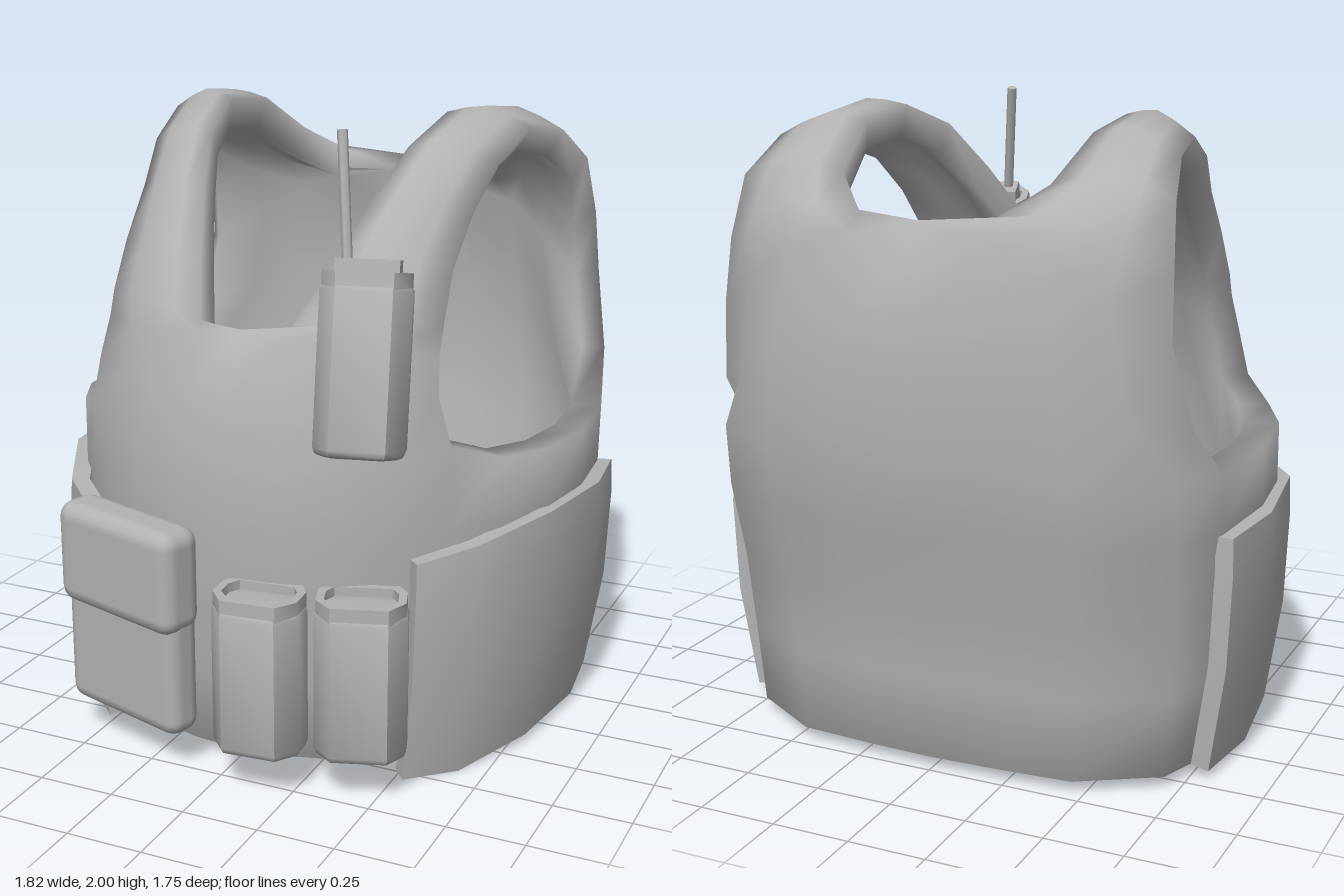
import * as THREE from 'three';
import { toCreasedNormals } from 'three/addons/utils/BufferGeometryUtils.js';
import { RoundedBoxGeometry } from 'three/addons/geometries/RoundedBoxGeometry.js';

const grey = new THREE.MeshStandardMaterial({ color: 0xb2b2b2 });
grey.name = 'grey fabric';

function add(parent, name, geometry, x = 0, y = 0, z = 0) {
  const mesh = new THREE.Mesh(geometry, grey);
  mesh.name = name;
  mesh.position.set(x, y, z);
  parent.add(mesh);
  return mesh;
}

// Closed padded shell: welds grids of points, offsets them inwards and stitches every open edge
function shell(grids, thickness, mirrors) {
  const pos = [], index = [], ids = new Map();
  const id = (p, s) => {
    const x = p[0] * s + 0;
    const key = [x, p[1], p[2]].map(v => Math.round(v * 1000)).join();
    if (!ids.has(key)) {
      ids.set(key, pos.length / 3);
      pos.push(x, p[1], p[2]);
    }
    return ids.get(key);
  };
  const tri = (a, b, c) => { if (a !== b && b !== c && a !== c) index.push(a, b, c); };
  for (const s of mirrors) for (const g of grids) {
    for (let r = 0; r < g.length - 1; r++) for (let c = 0; c < g[r].length - 1; c++) {
      let q = [g[r][c], g[r][c + 1], g[r + 1][c + 1], g[r + 1][c]].map(p => id(p, s));
      if (s < 0) q = q.reverse();
      tri(q[0], q[1], q[2]);
      tri(q[0], q[2], q[3]);
    }
  }
  const geo = new THREE.BufferGeometry();
  geo.setAttribute('position', new THREE.Float32BufferAttribute(pos, 3));
  geo.setIndex(index);
  geo.computeVertexNormals();
  const n = geo.attributes.normal.array, count = pos.length / 3;
  const all = pos.concat(pos.map((v, i) => v - n[i] * thickness));
  const faces = index.slice(), edges = new Set();
  for (let i = 0; i < index.length; i += 3) {
    const t = index.slice(i, i + 3);
    faces.push(t[0] + count, t[2] + count, t[1] + count);
    for (let k = 0; k < 3; k++) edges.add(t[k] + '_' + t[(k + 1) % 3]);
  }
  for (const e of edges) {
    const [a, b] = e.split('_').map(Number);
    if (!edges.has(b + '_' + a)) faces.push(a, a + count, b + count, a, b + count, b);
  }
  const out = new THREE.BufferGeometry();
  out.setAttribute('position', new THREE.Float32BufferAttribute(all, 3));
  out.setIndex(faces);
  out.computeVertexNormals();
  return out;
}

function vestGeometry() {
  // Half ring under the arms, from front centre round to back centre
  const top = [[0, 1, .7], [.17, 1, .68], [.34, 1.01, .63], [.5, 1.03, .53], [.62, 1.07, .42],
    [.74, 1.01, .28], [.83, 1, .1], [.86, .99, -.15], [.83, .98, -.45],
    [.76, 1, -.66], [.5, 1, -.83], [.25, 1, -.85], [0, 1, -.86]];
  // Height, width scale, front scale, back scale
  const band = [[.04, .93, .92, .86], [.3, .96, .96, .87], [.55, .98, 1, .9], [.8, 1, 1.01, .975]]
    .map(([y, sx, sf, sb]) => top.map(p => [p[0] * sx, y, p[2] * (p[2] > 0 ? sf : sb)]));
  band.push(top);
  // Chest, shoulder strap and back: neck edge, middle, arm edge
  const rows = [
    [[0, 1.2, .66], [.3, 1.2, .6], [.58, 1.22, .43]],
    [[0, 1.4, .58], [.3, 1.36, .55], [.565, 1.34, .39]],
    [[.15, 1.405, .55], [.36, 1.44, .49], [.565, 1.42, .36]],
    [[.21, 1.55, .43], [.38, 1.57, .4], [.56, 1.57, .28]],
    [[.28, 1.74, .27], [.42, 1.76, .25], [.57, 1.72, .14]],
    [[.34, 1.9, .1], [.46, 1.92, .07], [.6, 1.85, 0]],
    [[.38, 1.98, -.12], [.5, 2, -.17], [.63, 1.93, -.2]],
    [[.38, 1.95, -.38], [.52, 1.97, -.4], [.67, 1.9, -.42]],
    [[.34, 1.82, -.6], [.52, 1.86, -.58], [.71, 1.79, -.57]],
    [[.22, 1.73, -.72], [.48, 1.75, -.74], [.73, 1.6, -.63]],
    [[0, 1.72, -.77], [.42, 1.62, -.81], [.74, 1.4, -.66]],
    [[0, 1.36, -.87], [.46, 1.3, -.85], [.79, 1.14, -.6]],
  ].map(row => new THREE.CatmullRomCurve3(row.map(p => new THREE.Vector3(...p)))
    .getPoints(4).map(v => v.toArray()));
  const strap = [top.slice(0, 5), ...rows, top.slice(8).reverse()];
  return shell([band, strap], .1, [1, -1]);
}

// Side panel wrapped around the waist: x, z, top height
function panelGeometry(side) {
  const plan = [[.57, .56, .73], [.72, .43, .77], [.86, .16, .81], [.91, -.2, .8], [.875, -.47, .79]];
  const rows = [[0, .925, .97], [.45, .985, 1], [.85, 1, 1], [1, .995, .985]].map(([t, sx, sz]) =>
    plan.map(([x, z, h], i) => [x * sx, (i < 2 ? 0 : .03) * (1 - t) + h * t, z * sz]));
  return toCreasedNormals(shell([rows], .06, [side]), .9);
}

// Chamfered footprint, narrower at the front
function footprint(w, d) {
  const a = w / 2, b = d / 2;
  return [[-a * .8, -b], [a * .8, -b], [a, -b * .5], [a, b * .35], [a * .65, b], [-a * .65, b],
    [-a, b * .35], [-a, -b * .5]].map(p => new THREE.Vector2(p[0], -p[1]));
}

// Open-topped pouch standing on its own origin
function openPouch(name, w, h, d) {
  const group = new THREE.Group();
  group.name = name;
  const bevel = .025;
  const upright = (shape, depth, y, bevelled) => toCreasedNormals(new THREE.ExtrudeGeometry(shape, {
    depth, bevelEnabled: bevelled, bevelSize: bevel, bevelThickness: bevel, bevelSegments: 2,
  }).rotateX(-Math.PI / 2).translate(0, y, 0), .8);
  const body = new THREE.Shape(footprint(w - 2 * bevel, d - 2 * bevel));
  add(group, 'pouchBody', upright(body, h - .03 - 2 * bevel, bevel, true));
  const rim = new THREE.Shape(footprint(w - .01, d - .01));
  rim.holes.push(new THREE.Path(footprint(w - .06, d - .06).reverse()));
  add(group, 'pouchRim', upright(rim, .07, h - .07, false));
  return group;
}

export function createModel() {
  const model = new THREE.Group();
  model.name = 'tacticalVest';

  add(model, 'vestBody', vestGeometry());
  add(model, 'leftSidePanel', panelGeometry(1));
  add(model, 'rightSidePanel', panelGeometry(-1));

  // Large pouch with flap
  const large = new THREE.Group();
  large.name = 'flapPouch';
  add(large, 'pouchBody', new RoundedBoxGeometry(.49, .67, .13, 2, .05), 0, .46, 0);
  add(large, 'pouchFlap', new RoundedBoxGeometry(.51, .34, .16, 2, .055), 0, .64, .01);
  large.position.set(-.335, 0, .7);
  large.rotation.y = -.3;
  model.add(large);

  // Two open magazine pouches
  for (const [name, x, z, turn] of [['innerPouch', .145, .765, .08], ['outerPouch', .44, .67, .33]]) {
    const pouch = openPouch(name, .28, .51, .2);
    pouch.position.set(x, .14, z);
    pouch.rotation.y = turn;
    model.add(pouch);
  }

  // Radio in its holder, leaning back with the chest
  const radio = openPouch('radioHolder', .27, .54, .2);
  add(radio, 'radioBody', new THREE.BoxGeometry(.19, .12, .11), 0, .515, -.02);
  radio.position.set(.42, 1.08, .65);
  radio.rotation.set(-.23, .3, .05);
  model.add(radio);

  // Antenna
  const from = new THREE.Vector3(.335, 1.6, .545), to = new THREE.Vector3(.272, 1.995, .445);
  const antenna = add(model, 'antenna', new THREE.CylinderGeometry(.016, .016, from.distanceTo(to), 6));
  antenna.position.copy(from).lerp(to, .5);
  antenna.quaternion.setFromUnitVectors(new THREE.Vector3(0, 1, 0), to.clone().sub(from).normalize());

  return model;
}
